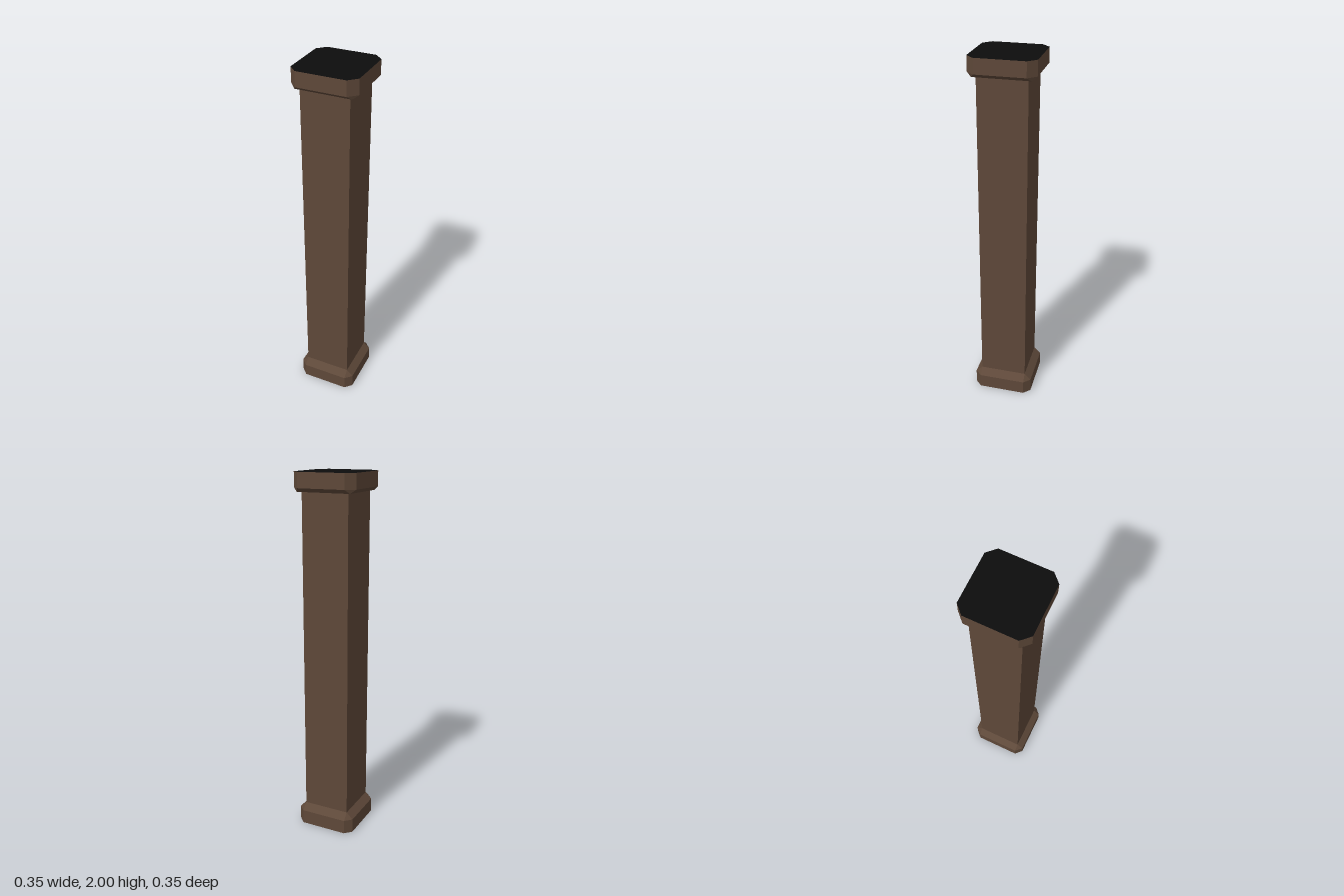
import * as THREE from 'three';

// Corner-cut square outline: half width w, flat half width f (f = w gives a plain square)
function ring(y, w, f) {
  return [[f, w], [w, f], [w, -f], [f, -w], [-f, -w], [-w, -f], [-w, f], [-f, w]]
    .map(([x, z]) => new THREE.Vector3(x, y, z));
}

// Faceted skin between rings listed from bottom to top, open at both ends
function loft(name, rings, material) {
  const pos = [];
  const tri = (a, b, c) => {
    if (new THREE.Triangle(a, b, c).getArea() > 1e-7) {
      for (const p of [a, b, c]) pos.push(p.x, p.y, p.z);
    }
  };
  for (let r = 0; r < rings.length - 1; r++) {
    for (let i = 0; i < 8; i++) {
      const j = (i + 1) % 8;
      const [a, b, c, d] = [rings[r][i], rings[r][j], rings[r + 1][j], rings[r + 1][i]];
      tri(a, b, c);
      tri(a, c, d);
    }
  }
  const geometry = new THREE.BufferGeometry();
  geometry.setAttribute('position', new THREE.Float32BufferAttribute(pos, 3));
  geometry.computeVertexNormals();
  const mesh = new THREE.Mesh(geometry, material);
  mesh.name = name;
  return mesh;
}

export function createModel() {
  const wood = new THREE.MeshStandardMaterial({ color: 0x5e4839, flatShading: true, side: THREE.DoubleSide });
  wood.name = 'brown wood';
  const black = new THREE.MeshStandardMaterial({ color: 0x0d0d0d, flatShading: true, side: THREE.DoubleSide });
  black.name = 'black top';

  const group = new THREE.Group();
  group.name = 'pillar';
  const s = 0.132; // shaft half width

  // Hollow foot, open underneath, sloping in to the shaft
  group.add(loft('foot', [ring(0, 0.169, s), ring(0.08, 0.169, s), ring(0.116, s, s)], wood));

  // Square shaft
  group.add(loft('shaft', [ring(0.116, s, s), ring(1.9, s, s)], wood));

  // Capital: flat ledge, bevel, then upright sides
  group.add(loft('capital', [
    ring(1.9, s, s), ring(1.9, 0.15, 0.15), ring(1.92, 0.176, s), ring(2, 0.176, s),
  ], wood));

  // Flat top plate
  const outline = new THREE.Shape(ring(0, 0.176, s).reverse().map((p) => new THREE.Vector2(p.x, p.z)));
  const top = new THREE.Mesh(new THREE.ShapeGeometry(outline).rotateX(-Math.PI / 2), black);
  top.name = 'topPlate';
  top.position.y = 2;
  group.add(top);

  return group;
}
